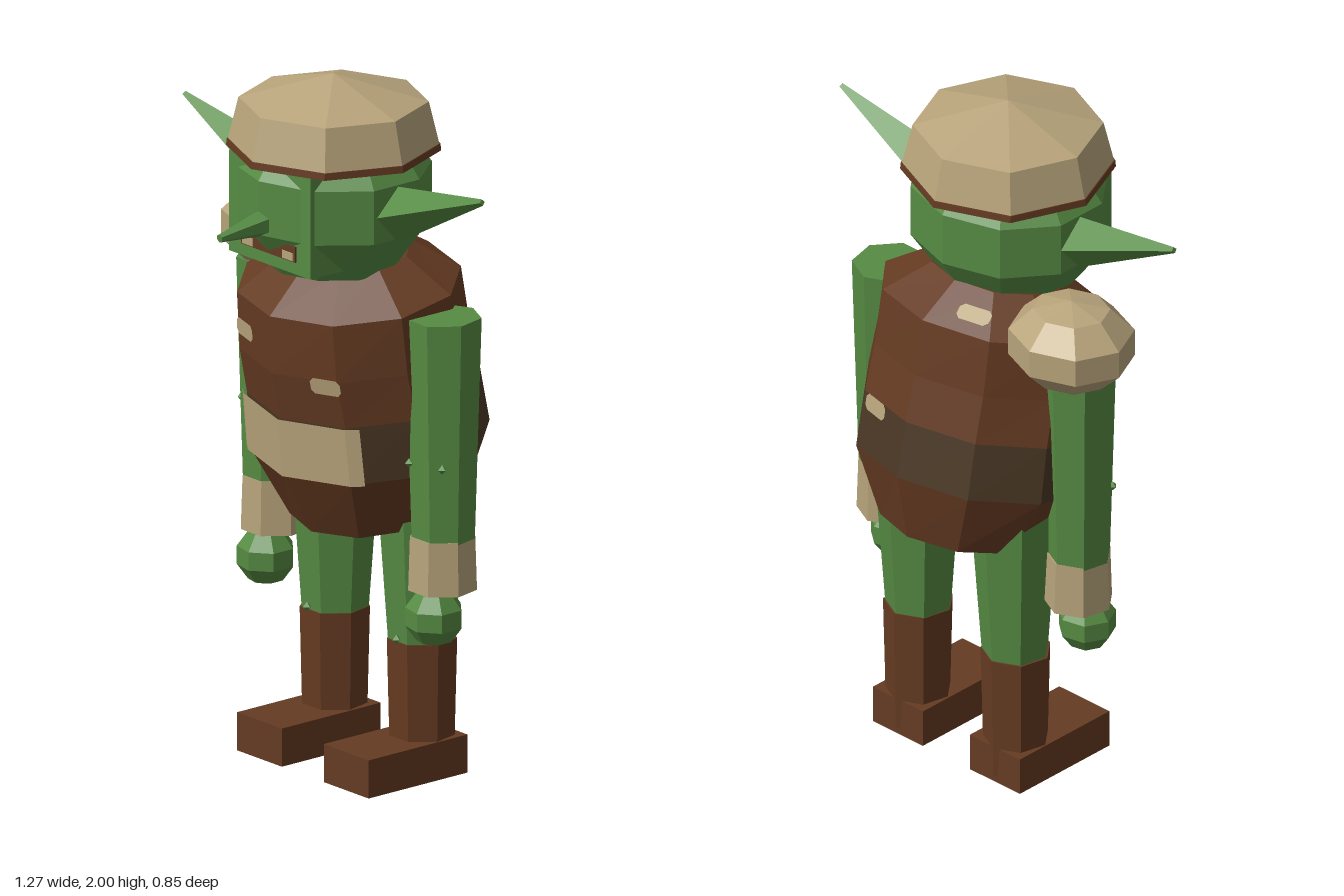
import * as THREE from 'three';

const mat = (name, color) => Object.assign(new THREE.MeshStandardMaterial({ color }), { name });

// Unshared vertices give crisp, faceted normals.
function facet(geo) {
  const g = geo.index ? geo.toNonIndexed() : geo;
  g.computeVertexNormals();
  return g;
}

// Point on a ring [y, z, rx, rz]; angle runs from +z toward +x, tilt lifts the back.
function ringPoint([y, z, rx, rz], a, tilt = 0) {
  return new THREE.Vector3(rx * Math.sin(a), y - tilt * rz * Math.cos(a), z + rz * Math.cos(a));
}

// Skin a stack of rings (bottom to top) over a list of angles, optionally capped.
function loft(rings, angles, tilt = 0, caps = true) {
  const pos = [], n = angles.length;
  const tri = (...pts) => pts.forEach(p => pos.push(p.x, p.y, p.z));
  const rows = rings.map(r => angles.map(a => ringPoint(r, a, tilt)));
  for (let i = 0; i < rows.length - 1; i++) {
    for (let k = 0; k < n - 1; k++) {
      const a = rows[i][k], b = rows[i][k + 1], c = rows[i + 1][k + 1], d = rows[i + 1][k];
      tri(a, b, c);
      tri(a, c, d);
    }
  }
  if (caps) {
    const lo = rows[0], hi = rows[rows.length - 1];
    const centre = r => new THREE.Vector3(0, r[0], r[1]);
    for (let k = 0; k < n - 1; k++) {
      tri(centre(rings[0]), lo[k + 1], lo[k]);
      tri(centre(rings[rings.length - 1]), hi[k], hi[k + 1]);
    }
  }
  const g = new THREE.BufferGeometry();
  g.setAttribute('position', new THREE.Float32BufferAttribute(pos, 3));
  return facet(g);
}

const around = (n, start = 0) => Array.from({ length: n + 1 }, (_, i) => start + i / n * Math.PI * 2);

export function createModel() {
  const root = new THREE.Group();
  root.name = 'goblin';
  const green = mat('green skin', 0x568b43);
  const brown = mat('brown leather', 0x653b22);
  const dark = mat('dark belt leather', 0x493724);
  const tan = mat('tan hide', 0xb8a47b);

  function add(name, geo, material, x = 0, y = 0, z = 0) {
    const m = new THREE.Mesh(geo, material);
    m.name = name;
    m.position.set(x, y, z);
    root.add(m);
    return m;
  }

  // Forward-leaning tunic with a belt band
  const T = 0.17, ten = around(10), seven = around(7, Math.PI);
  const torso = [
    [0.735, -0.14, 0.25, 0.24],
    [0.93, -0.112, 0.36, 0.308],
    [1.095, -0.087, 0.355, 0.298],
    [1.23, -0.055, 0.35, 0.295],
    [1.395, -0.035, 0.345, 0.285],
    [1.49, -0.03, 0.2, 0.16],
  ];
  add('tunicSkirt', loft(torso.slice(0, 2), ten, T), brown);
  add('belt', loft(torso.slice(1, 3), ten, T, false), dark);
  add('tunic', loft(torso.slice(2), ten, T), brown);

  // Wide front plate wrapped over the belt
  const plateAngles = [-43, -36, 0, 36, 43].map(d => d * Math.PI / 180);
  const plateRings = torso.slice(1, 3).map(([y, z, rx, rz]) => [y, z, rx + 0.009, rz + 0.009]);
  add('beltPlate', loft(plateRings, plateAngles, T, false), tan);

  // Sewn patches: ring index, side index, position across and up that face
  const patchShape = new THREE.Shape([
    [-0.05, -0.012], [-0.038, -0.024], [0.038, -0.024], [0.05, -0.012],
    [0.05, 0.012], [0.038, 0.024], [-0.038, 0.024], [-0.05, 0.012],
  ].map(p => new THREE.Vector2(...p)));
  for (const [i, k, u, v] of [[3, 9, 0.25, 0.45], [2, 0, 0.83, 0.9], [4, 5, 0.7, 0.42], [1, 4, 0.32, 0.88]]) {
    const [a, b, c, d] = [[i, k], [i, k + 1], [i + 1, k + 1], [i + 1, k]]
      .map(([r, s]) => ringPoint(torso[r], ten[s], T));
    const across = b.clone().sub(a).normalize();
    const normal = across.clone().cross(d.clone().sub(a)).normalize();
    const centre = a.lerp(b, u).lerp(d.lerp(c, u), v).addScaledVector(normal, 0.006);
    const patch = add('patch', new THREE.ShapeGeometry(patchShape), tan, ...centre.toArray());
    patch.quaternion.setFromRotationMatrix(
      new THREE.Matrix4().makeBasis(across, normal.clone().cross(across), normal));
  }

  // Head with a flat face block
  add('head', loft([
    [1.46, 0.025, 0.19, 0.18],
    [1.59, 0.025, 0.288, 0.265],
    [1.745, 0.025, 0.288, 0.265],
    [1.81, 0.025, 0.24, 0.22],
  ], ten), green);
  add('face', new THREE.BoxGeometry(0.345, 0.29, 0.2), green, 0, 1.64, 0.15);

  const nose = add('nose', facet(new THREE.CylinderGeometry(0.012, 0.043, 0.18, 6)), green, 0, 1.617, 0.34);
  nose.rotation.x = Math.PI / 2 + 0.09;

  // Mouth and teeth
  add('mouth', new THREE.BoxGeometry(0.23, 0.045, 0.008), brown, 0, 1.553, 0.252);
  for (const s of [-1, 1]) {
    add('tooth', new THREE.BoxGeometry(0.045, 0.022, 0.008), tan, s * 0.085, 1.545, 0.255);
  }

  // Octagonal cap with a leather rim
  const eight = around(8);
  add('cap', loft([
    [1.80, 0.02, 0.292, 0.292],
    [1.925, 0.02, 0.262, 0.262],
    [2.0, 0.02, 0.001, 0.001],
  ], eight), tan);
  add('capRim', loft([[1.785, 0.02, 0.296, 0.296], [1.805, 0.02, 0.294, 0.294]], eight), brown);

  // Single shoulder guard on the right
  add('shoulderGuard', facet(new THREE.SphereGeometry(0.19, 8, 5).scale(1, 0.69, 0.92)), tan, -0.37, 1.44, -0.115);

  const wart = facet(new THREE.OctahedronGeometry(0.014));
  for (const s of [-1, 1]) {
    // Long pointed ears
    const ear = add('ear', facet(new THREE.CylinderGeometry(0.009, 0.09, 0.455, 4)), green, s * 0.415, 1.712, 0.02);
    ear.rotation.z = -s * 1.25;

    // Arms, wrist bands and fists
    add('arm', loft([[0.6, -0.07, 0.085, 0.085], [1.37, -0.07, 0.108, 0.108]], seven), green, s * 0.358);
    add('wristBand', loft([[0.585, -0.07, 0.097, 0.097], [0.74, -0.07, 0.092, 0.092]], seven), tan, s * 0.355);
    add('fist', facet(new THREE.SphereGeometry(0.085, 7, 5)), green, s * 0.357, 0.51, -0.04);

    // Legs, boot shafts and blocky feet
    add('leg', loft([[0.38, -0.14, 0.094, 0.094], [0.86, -0.14, 0.128, 0.128]], seven), green, s * 0.183);
    add('bootShaft', loft([[0.02, -0.14, 0.09, 0.09], [0.39, -0.14, 0.099, 0.099]], seven), brown, s * 0.185);
    add('foot', new THREE.BoxGeometry(0.19, 0.11, 0.355), brown, s * 0.184, 0.055, -0.047);

    // Warts
    add('wart', wart, green, s * 0.32, 0.955, 0.02);
    add('wart', wart, green, s * 0.425, 0.955, -0.01);
    add('wart', wart, green, s * 0.19, 0.4, -0.045);
  }
  return root;
}
